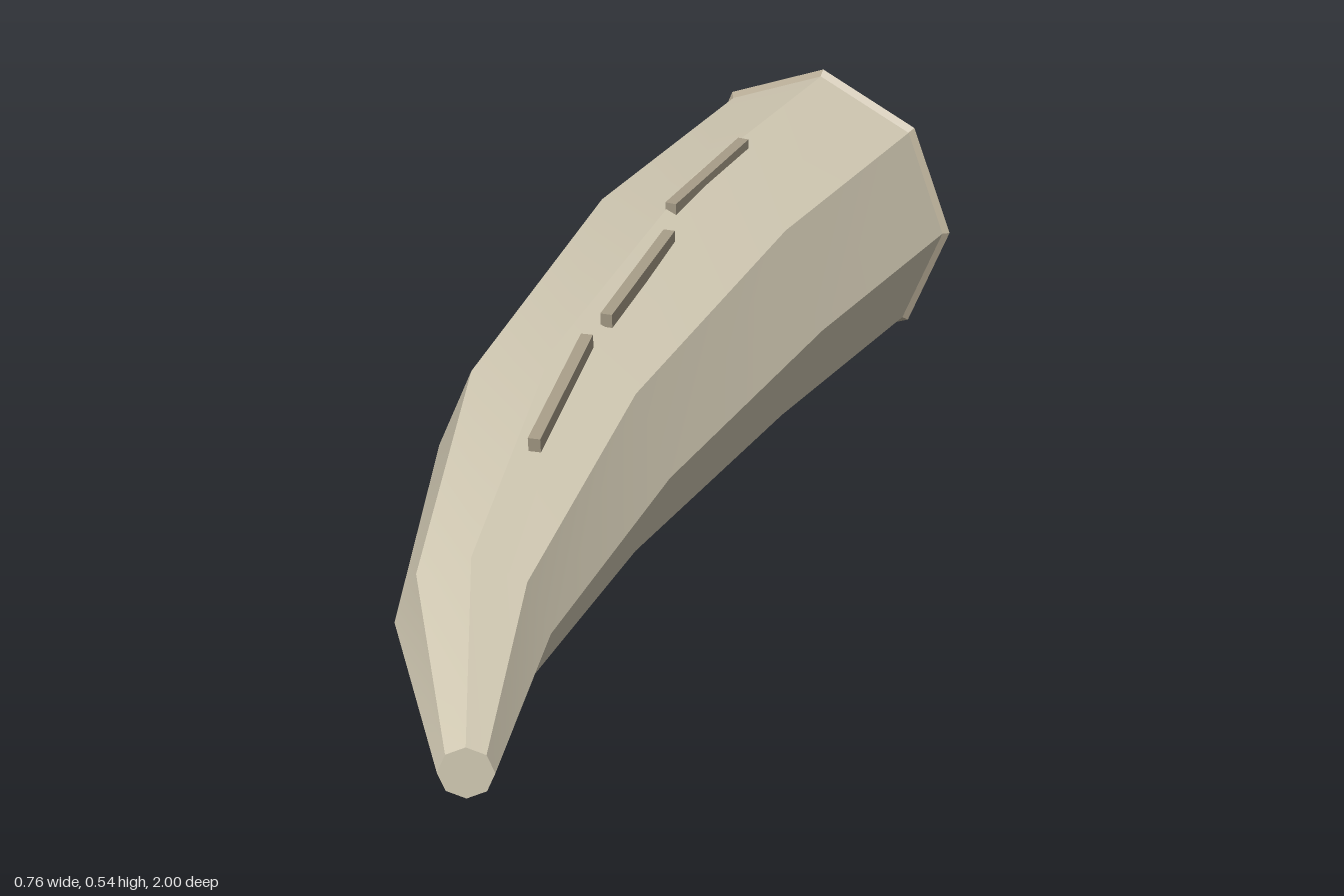
import * as THREE from 'three';
import { toCreasedNormals } from 'three/addons/utils/BufferGeometryUtils.js';

const SIDES = 8;

// Cross-sections from root to tip: centre x, y, z, radius, yaw
const SECTIONS = [
  [-0.11, 0.266, -0.96, 0.258, 0],
  [-0.08, 0.262, -0.425, 0.246, 0.1],
  [0.012, 0.235, 0.19, 0.198, 0.21],
  [0.165, 0.19, 0.675, 0.12, 0.38],
  [0.345, 0.14, 0.975, 0.042, 0.52],
];

function hornGeometry() {
  const positions = [];
  const index = [];
  for (const [x, y, z, r, yaw] of SECTIONS) {
    for (let k = 0; k < SIDES; k++) {
      const a = (k / SIDES) * Math.PI * 2;
      const side = r * Math.cos(a);
      positions.push(x + side * Math.cos(yaw), y + r * Math.sin(a), z - side * Math.sin(yaw));
    }
  }
  // Walls between neighbouring sections
  for (let i = 0; i < SECTIONS.length - 1; i++) {
    for (let k = 0; k < SIDES; k++) {
      const a = i * SIDES + k;
      const b = i * SIDES + ((k + 1) % SIDES);
      index.push(a, b, a + SIDES, b, b + SIDES, a + SIDES);
    }
  }
  // Flat caps on the root and the tip
  const tip = (SECTIONS.length - 1) * SIDES;
  for (let k = 1; k < SIDES - 1; k++) {
    index.push(0, k + 1, k);
    index.push(tip, tip + k, tip + k + 1);
  }
  const geometry = new THREE.BufferGeometry();
  geometry.setAttribute('position', new THREE.Float32BufferAttribute(positions, 3));
  geometry.setIndex(index);
  return toCreasedNormals(geometry, 0.5);
}

export function createModel() {
  const group = new THREE.Group();
  const material = (name, color) => {
    const m = new THREE.MeshStandardMaterial({ color });
    m.name = name;
    return m;
  };
  const bone = material('bone', 0xd0c8b2);
  const darkBone = material('darkBone', 0xb8ad97);
  const groove = material('groove', 0xa59b86);
  const flesh = material('flesh', 0x8c3450);

  const add = (name, geometry, mat) => {
    const mesh = new THREE.Mesh(geometry, mat);
    mesh.name = name;
    group.add(mesh);
    return mesh;
  };

  // Curved, tapering horn
  add('horn', hornGeometry(), bone);

  // Faceted rim around the root
  const rim = toCreasedNormals(new THREE.TorusGeometry(0.23, 0.038, 4, SIDES), 0.3);
  add('rootRim', rim, darkBone).position.set(-0.11, 0.266, -0.96);

  // Raised core inside the rim
  const core = toCreasedNormals(new THREE.CylinderGeometry(0.172, 0.172, 0.06, SIDES), 0.3);
  core.rotateX(Math.PI / 2);
  add('rootCore', core, flesh).position.set(-0.11, 0.266, -0.97);

  // Thin strips along the upper ridge, given by their end points
  const strips = [
    [[-0.078, 0.509, -0.6], [-0.053, 0.493, -0.3]],
    [[-0.018, 0.474, -0.235], [0.037, 0.442, 0.065]],
    [[0.04, 0.432, 0.13], [0.122, 0.384, 0.425]],
  ];
  strips.forEach(([from, to], i) => {
    const a = new THREE.Vector3(...from);
    const b = new THREE.Vector3(...to);
    const strip = add(`ridgeStrip${i + 1}`, new THREE.BoxGeometry(0.02, 0.024, a.distanceTo(b)), groove);
    strip.position.copy(a).lerp(b, 0.5);
    strip.lookAt(b);
  });

  return group;
}
